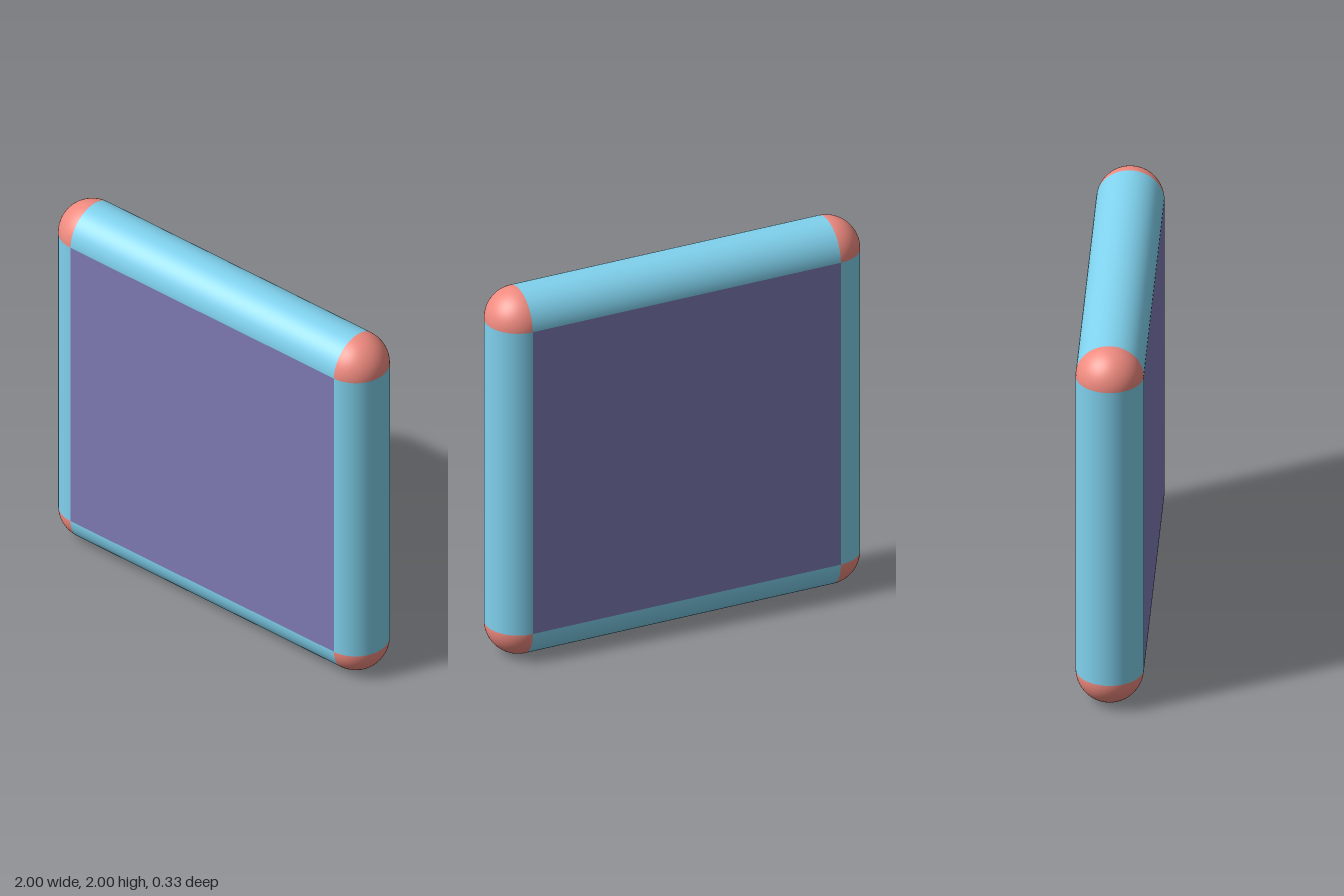
import * as THREE from 'three';

const R = 1 / 6;      // edge radius, half the slab thickness
const H = 1 - R;      // half size of the flat faces

const paint = (color) => new THREE.MeshStandardMaterial({ color });

export function createModel() {
  const model = new THREE.Group();
  model.name = 'roundedSlab';
  const faceMat = paint(0x7f7cb5);
  const edgeMat = paint(0x80d2ee);
  const cornerMat = paint(0xf08b80);

  const add = (parent, name, geometry, material, x, y, z) => {
    const mesh = new THREE.Mesh(geometry, material);
    mesh.name = name;
    mesh.position.set(x, y, z);
    parent.add(mesh);
    return mesh;
  };

  // Flat front and back faces
  const face = new THREE.PlaneGeometry(2 * H, 2 * H);
  add(model, 'frontFace', face, faceMat, 0, 1, R);
  add(model, 'backFace', face, faceMat, 0, 1, -R).rotation.y = Math.PI;

  // Half-round edge and quarter-sphere corner, repeated around the four sides
  const edge = new THREE.CylinderGeometry(R, R, 2 * H, 32, 1, true, 0, Math.PI);
  const corner = new THREE.SphereGeometry(R, 32, 16, Math.PI / 2, Math.PI, 0, Math.PI / 2);
  ['left', 'top', 'right', 'bottom'].forEach((side, i) => {
    const group = new THREE.Group();
    group.name = side + 'Side';
    group.position.y = 1;
    group.rotation.z = i * Math.PI / 2;
    add(group, side + 'Edge', edge, edgeMat, H, 0, 0);
    add(group, side + 'Corner', corner, cornerMat, H, H, 0);
    model.add(group);
  });

  return model;
}
